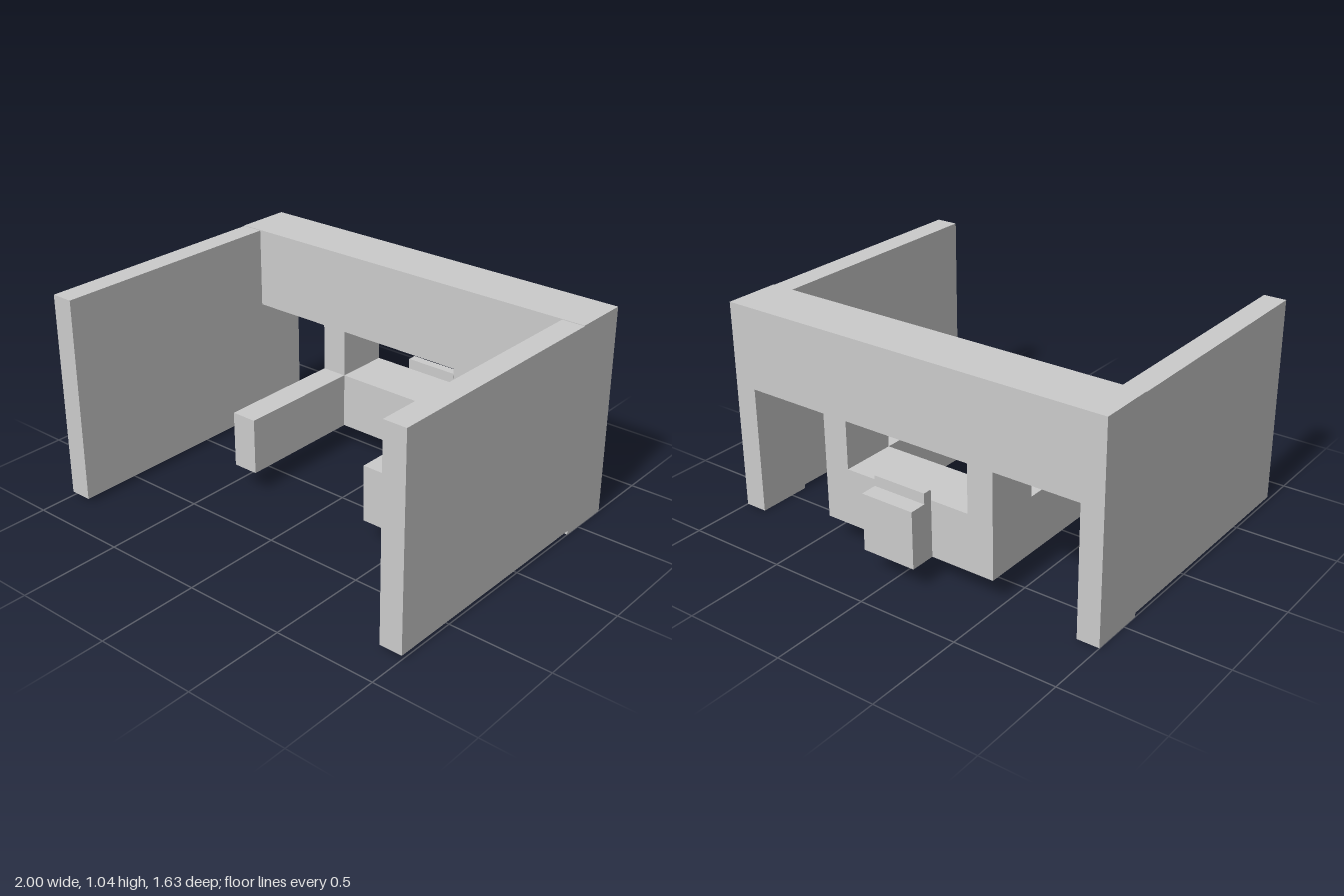
import * as THREE from 'three';

const material = new THREE.MeshStandardMaterial({ color: 0xcccccc, flatShading: true });

// Axis-aligned box from its minimum and maximum on each axis
function block(name, [x0, x1], [y0, y1], [z0, z1]) {
  const mesh = new THREE.Mesh(new THREE.BoxGeometry(x1 - x0, y1 - y0, z1 - z0), material);
  mesh.position.set((x0 + x1) / 2, (y0 + y1) / 2, (z0 + z1) / 2);
  mesh.name = name;
  return mesh;
}

export function createModel() {
  const group = new THREE.Group();
  group.name = 'bracket';

  const back = -0.687, mid = -0.41, front = 0.816;
  const top = 1.038, beam = 0.635, shelfTop = 0.398, shelfBottom = 0.118;

  // Rear frame: end legs, top beam and a hanging loop around a window
  const outline = [
    [-1, 0], [-0.89, 0], [-0.89, beam], [-0.466, beam], [-0.466, shelfBottom],
    [0.461, shelfBottom], [0.461, beam], [0.887, beam], [0.887, 0], [1, 0],
    [1, top], [-1, top],
  ];
  const shape = new THREE.Shape(outline.map(([x, y]) => new THREE.Vector2(x, y)));
  const hole = [[-0.335, shelfTop], [-0.335, beam], [0.331, beam], [0.331, shelfTop]];
  shape.holes.push(new THREE.Path(hole.map(([x, y]) => new THREE.Vector2(x, y))));
  const frame = new THREE.Mesh(
    new THREE.ExtrudeGeometry(shape, { depth: mid - back, bevelEnabled: false }), material);
  frame.position.z = back;
  frame.name = 'rearFrame';
  group.add(frame);

  // Long side walls, raised slightly off the ground
  group.add(block('rightWall', [-1, -0.89], [0.02, top - 0.003], [mid, front]));
  group.add(block('leftWall', [0.887, 1], [0.02, top - 0.003], [mid, front]));

  // Two short arms reaching forward from the loop
  group.add(block('rightArm', [-0.466, -0.335], [shelfBottom, shelfTop], [mid, 0.245]));
  group.add(block('leftArm', [0.331, 0.461], [shelfBottom, shelfTop], [mid, 0.245]));

  // Rear catch with its raised lip
  group.add(block('catch', [-0.14, 0.135], [shelfBottom, shelfTop], [-0.816, back]));
  group.add(block('catchLip', [-0.14, 0.135], [shelfTop, 0.45], [-0.732, back]));

  return group;
}
